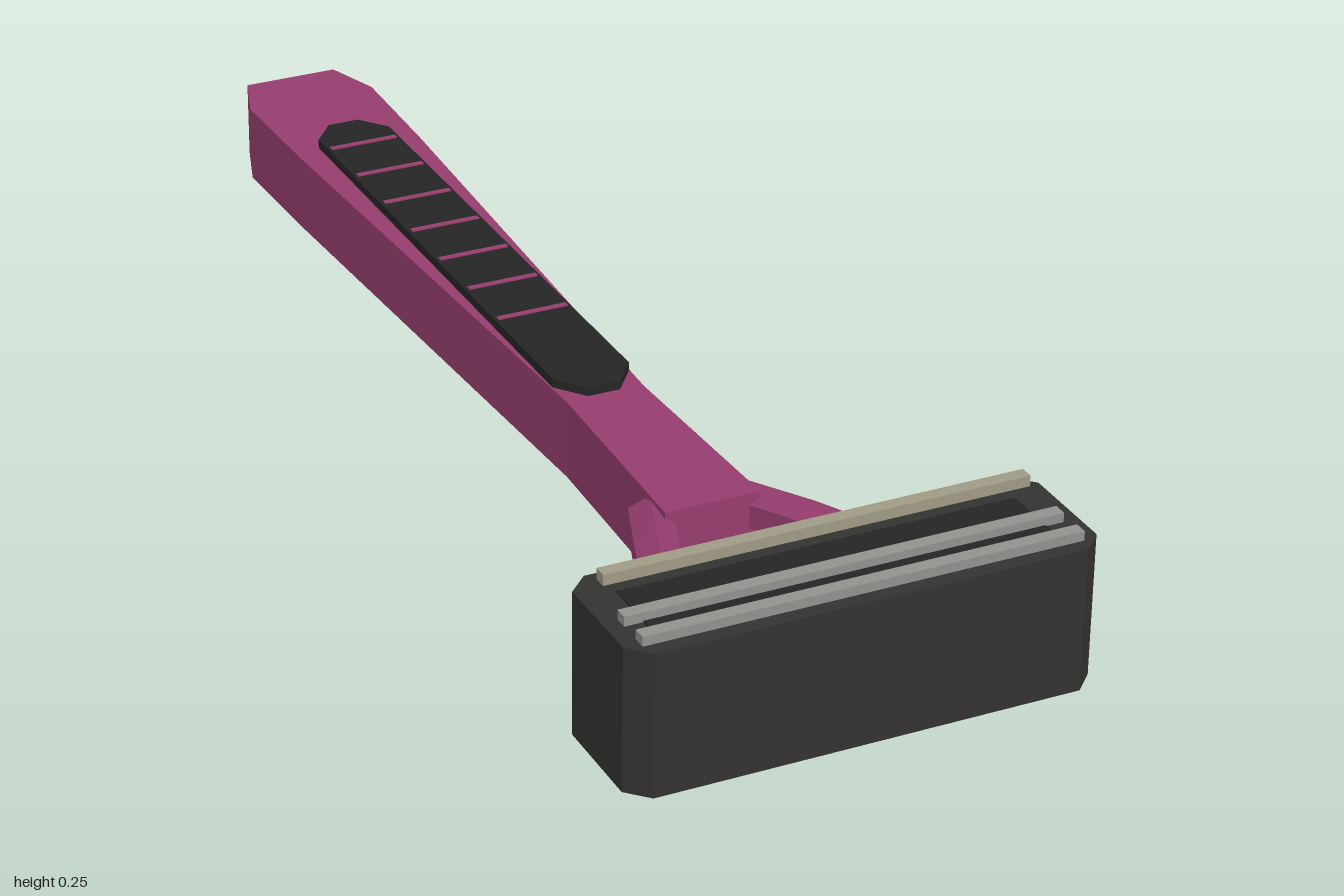
import * as THREE from 'three';

const paint = (color) => new THREE.MeshStandardMaterial({ color, flatShading: true });

// Prism from half an outline of [x, z] points, mirrored in x, standing from y0 to y1
function prism(name, half, y0, y1, material) {
  const outline = [...half, ...half.map(([x, z]) => [-x, z]).reverse()];
  const shape = new THREE.Shape(outline.map(([x, z]) => new THREE.Vector2(x, -z)));
  const geometry = new THREE.ExtrudeGeometry(shape, { depth: y1 - y0, bevelEnabled: false });
  geometry.rotateX(-Math.PI / 2);
  geometry.translate(0, y0, 0);
  const mesh = new THREE.Mesh(geometry, material);
  mesh.name = name;
  return mesh;
}

function bar(name, w, h, d, y, z, material) {
  const mesh = new THREE.Mesh(new THREE.BoxGeometry(w, h, d), material);
  mesh.position.set(0, y, z);
  mesh.name = name;
  return mesh;
}

export function createModel() {
  const model = new THREE.Group();
  model.name = 'razor';
  const plum = paint(0x963d6e);
  const black = paint(0x252525);
  const charcoal = paint(0x333231);
  const steel = paint(0x90928e);
  const balm = paint(0xa09a84);

  // Tapered handle with chamfered butt
  model.add(prism('handle', [
    [0.075, -1], [0.105, -0.91], [0.1, -0.7], [0.06, 0.2], [0.072, 0.54],
  ], 0, 0.12, plum));

  // Grip pad and its cross ridges
  model.add(prism('gripPad', [
    [0.025, -0.775], [0.06, -0.73], [0.06, 0.15], [0.025, 0.195],
  ], 0.11, 0.134, black));
  for (let i = 0; i < 7; i++) {
    model.add(bar('gripRidge', 0.11, 0.012, 0.009, 0.13, -0.69 + i * 0.1065, plum));
  }

  // Forked neck: two curved six-sided arms
  const section = new THREE.Shape(Array.from({ length: 6 }, (_, i) => {
    const a = (i / 6) * Math.PI * 2;
    return new THREE.Vector2(Math.cos(a) * 0.035, Math.sin(a) * 0.035);
  }));
  for (const side of [1, -1]) {
    const path = new THREE.CatmullRomCurve3([
      new THREE.Vector3(side * 0.065, 0.077, 0.48),
      new THREE.Vector3(side * 0.128, 0.096, 0.64),
      new THREE.Vector3(side * 0.19, 0.096, 0.82),
    ]);
    const arm = new THREE.Mesh(new THREE.ExtrudeGeometry(section, {
      steps: 6, extrudePath: path, bevelEnabled: false,
    }), plum);
    arm.name = side > 0 ? 'leftNeckArm' : 'rightNeckArm';
    model.add(arm);
  }

  // Head block with chamfered corners and a top plate
  model.add(prism('head', [
    [0.31, 0.79], [0.34, 0.82], [0.34, 0.97], [0.31, 1],
  ], 0, 0.213, charcoal));
  model.add(bar('bladePlate', 0.58, 0.01, 0.105, 0.21, 0.897, black));

  // Blades and lubricating strip
  for (const z of [0.915, 0.968]) {
    model.add(bar('blade', 0.634, 0.014, 0.02, 0.22, z, steel));
  }
  model.add(bar('lubricatingStrip', 0.62, 0.016, 0.02, 0.237, 0.838, balm));

  return model;
}
